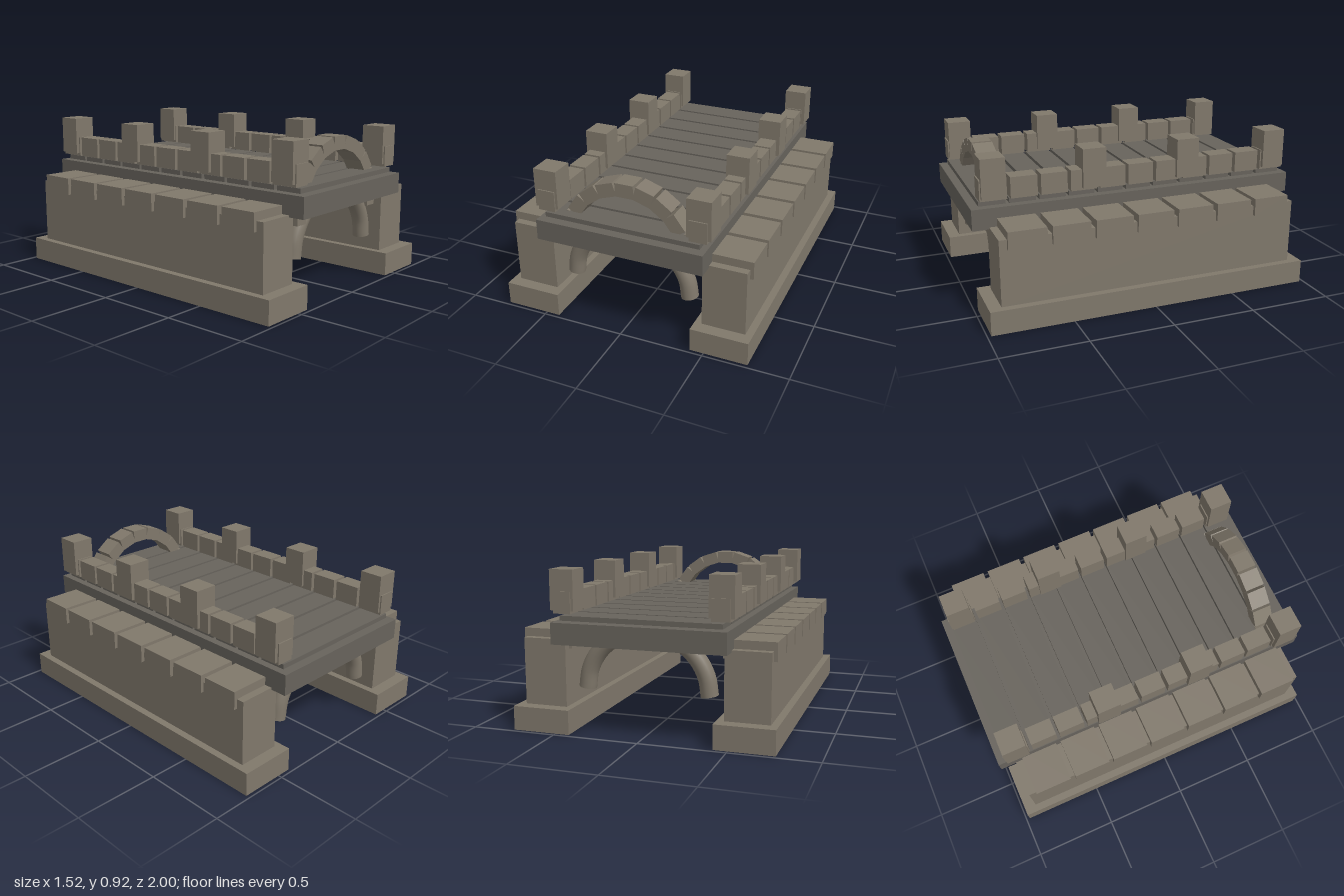
import * as THREE from 'three';

const stone = new THREE.MeshStandardMaterial({ color: 0x80786b });
const darkStone = new THREE.MeshStandardMaterial({ color: 0x67635c });

export function createModel() {
  const model = new THREE.Group();

  // Box given by its size and centre
  const box = (name, w, h, d, x, y, z, material = stone) => {
    const mesh = new THREE.Mesh(new THREE.BoxGeometry(w, h, d), material);
    mesh.name = name;
    mesh.position.set(x, y, z);
    model.add(mesh);
    return mesh;
  };

  // Deck slab with planks across it
  box('deck', 1, 0.122, 2, 0, 0.576, 0, darkStone);
  for (let i = -5; i <= 5; i++) {
    box('plank', 0.93, 0.028, 0.155, 0, 0.656, i * 0.175, darkStone);
  }

  for (const side of [-1, 1]) {
    // Side walls on footings, with capstones
    box('footing', 0.34, 0.14, 1.955, side * 0.588, 0.07, 0);
    box('wall', 0.255, 0.387, 1.81, side * 0.588, 0.333, 0);
    for (let i = -3; i <= 3; i++) {
      box('capstone', 0.295, 0.105, 0.22, side * 0.588, 0.522, i * 0.25);
    }
    // Parapet blocks and posts
    for (let i = -5; i <= 5; i++) {
      box('parapetBlock', 0.104, 0.122, 0.155, side * 0.453, 0.741, i * 0.175);
    }
    for (const z of [-0.875, -0.292, 0.292, 0.875]) {
      box('parapetPost', 0.14, 0.228, 0.14, side * 0.456, 0.81, z);
    }
  }

  // Front arch of separate stones set around a half circle
  for (let i = 0; i <= 10; i++) {
    const a = (i * Math.PI) / 10;
    const x = 0.36 * Math.cos(a), y = 0.5 + 0.36 * Math.sin(a);
    box('archStone', 0.08, 0.11, 0.12, x, y, 0.83).rotation.z = a;
  }

  // Round ribs under both ends of the deck, with closed feet
  const points = [];
  for (let i = 0; i <= 10; i++) {
    const a = (i * Math.PI) / 10;
    points.push(new THREE.Vector3(0.36 * Math.cos(a), 0.25 + 0.34 * Math.sin(a), 0));
  }
  const curve = new THREE.CatmullRomCurve3(points);
  const tube = new THREE.TubeGeometry(curve, 40, 0.05, 16);
  const disc = new THREE.CircleGeometry(0.05, 16);
  for (const z of [-0.83, 0.83]) {
    const rib = new THREE.Group();
    rib.name = 'rib';
    rib.position.z = z;
    const body = new THREE.Mesh(tube, stone);
    body.name = 'ribTube';
    rib.add(body);
    for (const t of [0, 1]) {
      const foot = new THREE.Mesh(disc, stone);
      foot.name = 'ribFoot';
      foot.position.copy(curve.getPointAt(t));
      const out = curve.getTangentAt(t).multiplyScalar(t ? 1 : -1);
      foot.quaternion.setFromUnitVectors(new THREE.Vector3(0, 0, 1), out);
      rib.add(foot);
    }
    model.add(rib);
  }

  return model;
}
